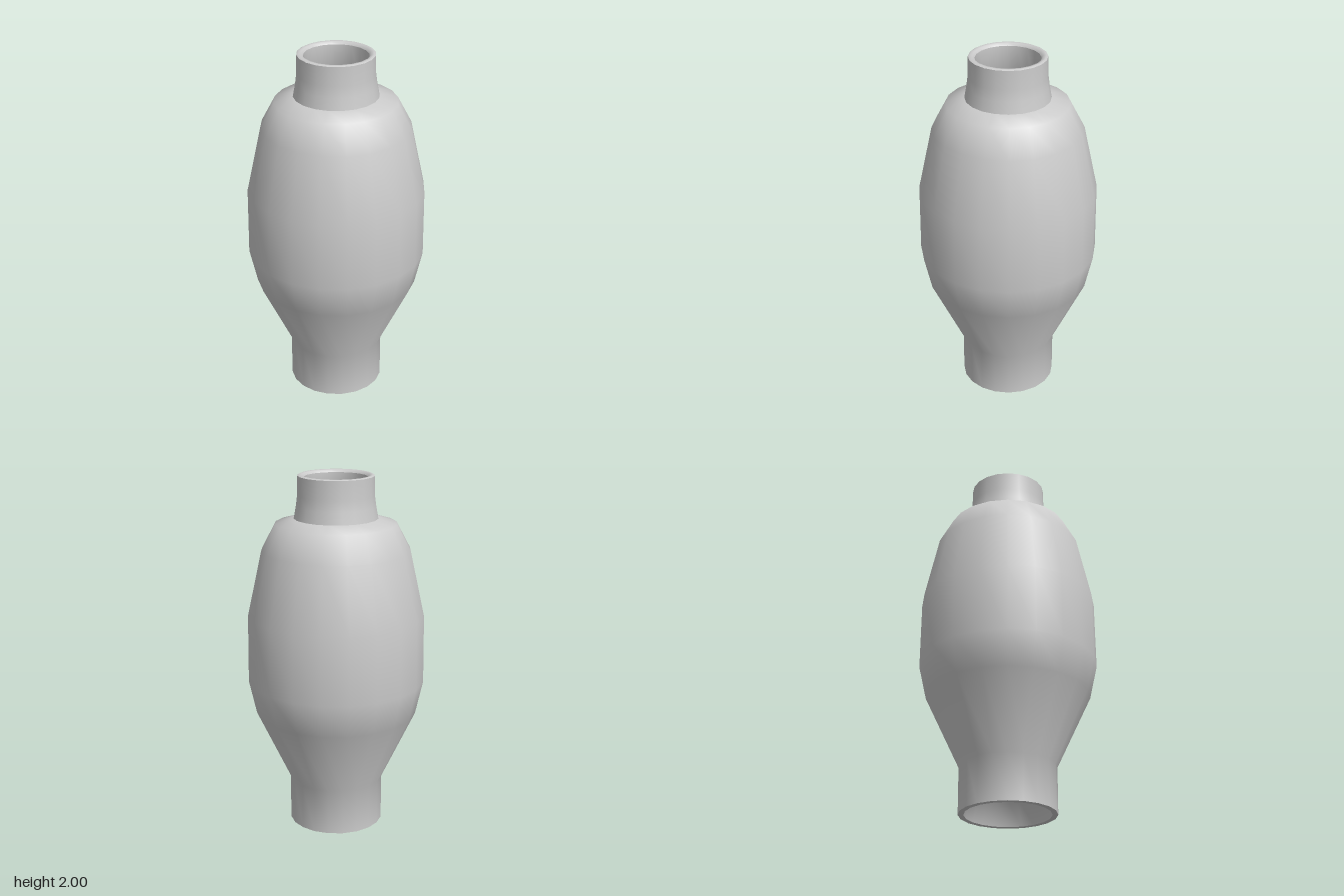
import * as THREE from 'three';

const SIDES = 20;

// Each profile runs along the surface with its outside on the right-hand side.
const profiles = {
  footRecess: [[0, 0.18], [0.12, 0.175], [0.2, 0.13], [0.235, 0]],
  footRim: [[0.235, 0], [0.265, 0]],
  body: [
    [0.265, 0], [0.265, 0.26], [0.453, 0.66], [0.495, 0.85],
    [0.491, 1.23], [0.412, 1.59], [0.335, 1.735], [0.232, 1.765],
  ],
  neck: [[0.232, 1.765], [0.22, 1.83], [0.212, 1.89], [0.21, 1.995]],
  lip: [[0.21, 1.995], [0.2, 2], [0.185, 1.998], [0.175, 1.985]],
  innerWall: [
    [0.175, 1.985], [0.175, 1.77], [0.3, 1.7], [0.375, 1.58], [0.455, 1.23],
    [0.46, 0.85], [0.415, 0.67], [0.23, 0.28], [0.225, 0.22],
  ],
  innerFloor: [[0.225, 0.22], [0, 0.22]],
};

export function createModel() {
  const vase = new THREE.Group();
  vase.name = 'vase';
  const material = new THREE.MeshStandardMaterial({ color: 0xcccccc });

  // Separate lathes keep the edges between parts sharp.
  for (const [name, points] of Object.entries(profiles)) {
    const profile = points.map(([r, y]) => new THREE.Vector2(r, y));
    const mesh = new THREE.Mesh(new THREE.LatheGeometry(profile, SIDES), material);
    mesh.name = name;
    vase.add(mesh);
  }
  return vase;
}
